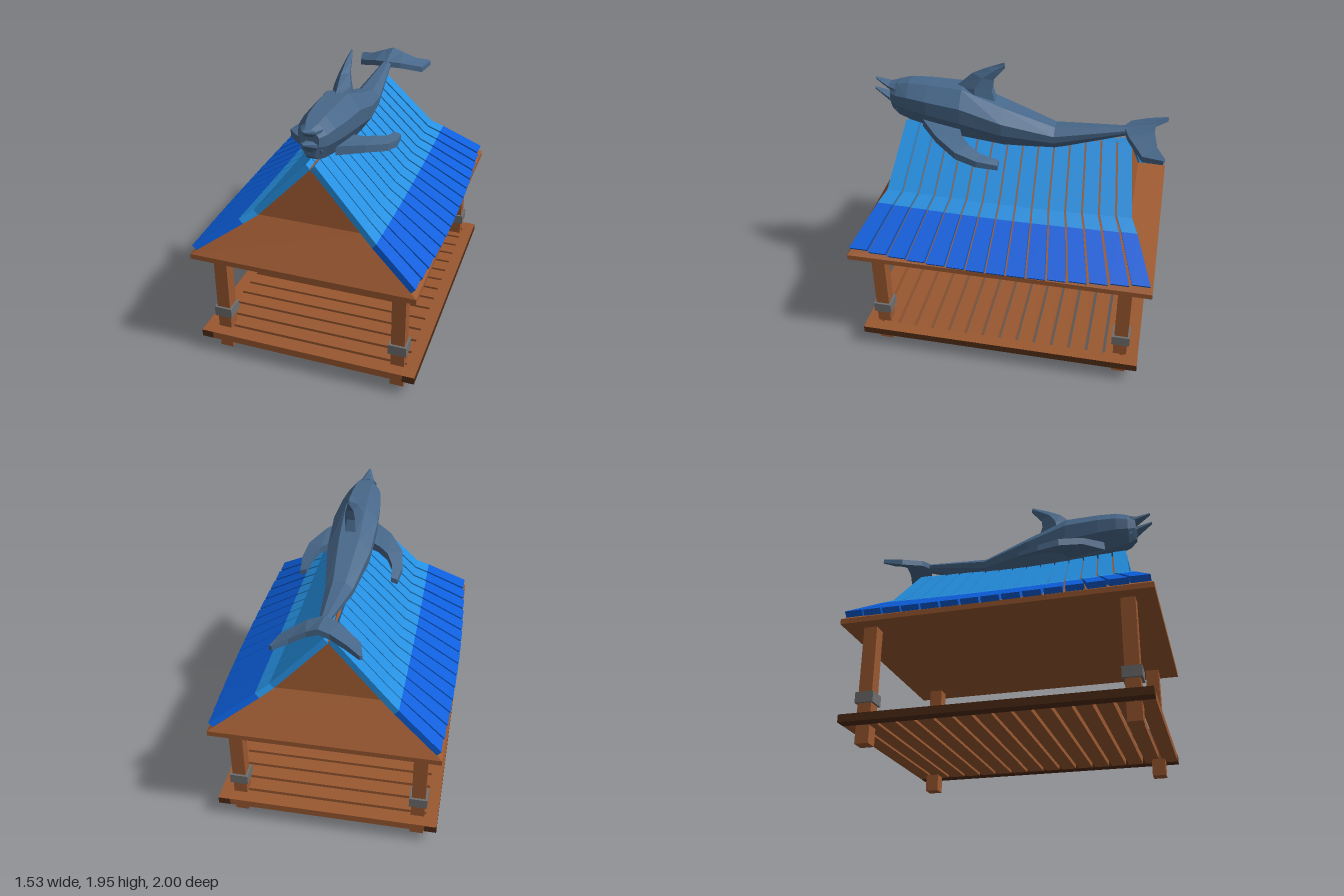
import * as THREE from 'three';

const mat = (name, color) => {
  const m = new THREE.MeshStandardMaterial({ color });
  m.name = name;
  return m;
};

// Closed, faceted skin over equal-length rings of [x, y, z] points.
function loft(rings) {
  const tris = [], n = rings[0].length;
  for (let r = 0; r < rings.length - 1; r++) {
    for (let i = 0; i < n; i++) {
      const j = (i + 1) % n, a = rings[r], b = rings[r + 1];
      tris.push([a[i], a[j], b[j]], [a[i], b[j], b[i]]);
    }
  }
  const first = rings[0], last = rings[rings.length - 1];
  for (let i = 1; i < n - 1; i++) {
    tris.push([first[0], first[i + 1], first[i]], [last[0], last[i], last[i + 1]]);
  }
  // Turn the faces outward whichever way the rings run.
  const v = (p) => new THREE.Vector3(...p), o = v(first[0]);
  let volume = 0;
  for (const [a, b, c] of tris) volume += v(a).sub(o).dot(v(b).sub(o).cross(v(c).sub(o)));
  if (volume < 0) tris.forEach((t) => t.reverse());
  const g = new THREE.BufferGeometry();
  g.setAttribute('position', new THREE.Float32BufferAttribute(tris.flat(2), 3));
  g.computeVertexNormals();
  return g;
}

export function createModel() {
  const model = new THREE.Group();
  const wood = mat('wood', 0x9a5830);
  const darkWood = mat('darkWood', 0x502c17);
  const metal = mat('metal', 0x6e6e6e);
  const lightBlue = mat('lightBlueTile', 0x258fe0);
  const deepBlue = mat('deepBlueTile', 0x0c5edb);
  const skin = mat('dolphinSkin', 0x48688a);

  const add = (parent, name, geometry, material) => {
    const m = new THREE.Mesh(geometry, material);
    m.name = name;
    parent.add(m);
    return m;
  };
  const group = (name) => {
    const g = new THREE.Group();
    g.name = name;
    model.add(g);
    return g;
  };
  const box = (parent, name, material, w, h, d, x, y, z) =>
    add(parent, name, new THREE.BoxGeometry(w, h, d), material).position.set(x, y, z);

  // Posts with metal bands, and the side rails of the floor
  const frame = group('frame');
  for (const x of [-0.605, 0.605]) {
    for (const z of [-0.83, 0.83]) {
      box(frame, 'post', wood, 0.09, 0.78, 0.09, x, 0.39, z);
      box(frame, 'postBand', metal, 0.12, 0.07, 0.12, x, 0.295, z);
    }
    const sides = [darkWood, darkWood, wood, darkWood, darkWood, darkWood];
    box(frame, 'sideRail', sides, 0.08, 0.05, 1.91, Math.sign(x) * 0.7, 0.14, 0);
  }

  // Floor planks
  const floor = group('floor');
  for (let i = 0; i < 16; i++) {
    box(floor, 'plank', wood, 1.32, 0.05, 0.1, 0, 0.14, (i - 7.5) * 0.1205);
  }

  // Solid wooden roof core, narrowing towards the ridge
  const rect = (hx, y, hz) => [[-hx, y, hz], [hx, y, hz], [hx, y, -hz], [-hx, y, -hz]];
  add(model, 'roofCore', loft([
    rect(0.74, 0.775, 1), rect(0.74, 0.81, 1), rect(0.36, 1.07, 0.805), rect(0.004, 1.43, 0.755),
  ]), wood);

  // Fanned roof tiles: x, y, spacing along z, inward pull and lift at the roof ends
  const stations = [
    [0.028, 1.435, 0.1025, 0, 0.02],
    [0.365, 1.09, 0.11, 0, 0.015],
    [0.455, 1.035, 0.116, 0.005, 0.015],
    [0.765, 0.838, 0.132, 0.035, 0.03],
  ];
  const tiles = group('roofTiles');
  for (const side of [-1, 1]) {
    for (let i = -7; i <= 7; i++) {
      const e = (i / 7) ** 2;
      const rings = stations.map(([x, y, pitch, pull, lift]) => {
        const ox = x - pull * e, oy = y + lift * e;
        const z0 = (i - 0.44) * pitch, z1 = (i + 0.44) * pitch;
        const ix = side * (ox - 0.027), iy = oy - 0.032;
        return [[side * ox, oy, z0], [side * ox, oy, z1], [ix, iy, z1], [ix, iy, z0]];
      });
      add(tiles, 'upperTile', loft(rings.slice(0, 3)), lightBlue);
      add(tiles, 'lowerTile', loft(rings.slice(2)), deepBlue);
    }
  }

  // Dolphin along the ridge
  const dolphin = group('dolphin');
  dolphin.position.x = 0.03;
  // Eight-sided cross-section
  const section = ([z, top, bottom, hw]) => {
    const h = top - bottom;
    const half = [[0.45, 1], [1, 0.72], [0.95, 0.4], [0.42, 0]];
    const right = half.map(([x, y]) => [x * hw, bottom + y * h, z]);
    return [...right, ...right.map(([x, y]) => [-x, y, z]).reverse()];
  };
  const sectionLoft = (name, rows) => add(dolphin, name, loft(rows.map(section)), skin);
  sectionLoft('body', [
    [0.84, 1.73, 1.56, 0.06], [0.79, 1.752, 1.52, 0.09], [0.71, 1.77, 1.495, 0.115],
    [0.58, 1.772, 1.465, 0.135], [0.35, 1.765, 1.415, 0.152], [0.08, 1.66, 1.383, 0.145],
    [-0.26, 1.54, 1.383, 0.09], [-0.74, 1.58, 1.525, 0.03],
  ]);
  sectionLoft('upperBeak', [
    [0.8, 1.75, 1.66, 0.07], [0.85, 1.74, 1.69, 0.045], [0.945, 1.768, 1.752, 0.008],
  ]);
  sectionLoft('lowerBeak', [
    [0.8, 1.65, 1.53, 0.07], [0.85, 1.66, 1.6, 0.045], [0.955, 1.693, 1.677, 0.008],
  ]);

  // Dorsal fin: front z and y, back z and y, half width
  add(dolphin, 'dorsalFin', loft([
    [0.42, 1.74, 0.13, 1.65, 0.07], [0.37, 1.785, 0.16, 1.76, 0.055],
    [0.29, 1.86, 0.15, 1.83, 0.035], [0.2, 1.905, 0.11, 1.875, 0.022],
    [0.08, 1.953, 0.075, 1.915, 0.006],
  ].map(([fz, fy, bz, by, w]) => [
    [0, fy, fz], [w, (fy + by) / 2, (fz + bz) / 2], [w * 0.5, by, bz],
    [-w * 0.5, by, bz], [-w, (fy + by) / 2, (fz + bz) / 2],
  ])), skin);

  // Flippers and flukes: leading x, z; trailing x, z; leading y, trailing y; thickness
  const flipper = [
    [0.08, 0.62, 0.08, 0.37, 1.5, 1.47, 0.06], [0.23, 0.49, 0.17, 0.33, 1.475, 1.455, 0.05],
    [0.33, 0.34, 0.235, 0.27, 1.43, 1.44, 0.05], [0.35, 0.2, 0.28, 0.18, 1.395, 1.41, 0.045],
    [0.335, 0.06, 0.29, 0.06, 1.375, 1.39, 0.035],
  ];
  const fluke = [
    [0, -0.7, 0, -0.9, 1.56, 1.6, 0.04], [0.1, -0.74, 0.07, -0.9, 1.545, 1.575, 0.04],
    [0.24, -0.84, 0.17, -0.925, 1.495, 1.53, 0.04], [0.272, -0.97, 0.255, -0.98, 1.505, 1.51, 0.03],
  ];
  const fin = (rows, s) => loft(rows.map(([lx, lz, tx, tz, ly, ty, t]) => [
    [s * lx, ly + t / 2, lz], [s * tx, ty + t / 2, tz],
    [s * tx, ty - t / 2, tz], [s * lx, ly - t / 2, lz],
  ]));
  for (const s of [-1, 1]) {
    add(dolphin, 'flipper', fin(flipper, s), skin);
    add(dolphin, 'tailFluke', fin(fluke, s), skin);
  }
  return model;
}
